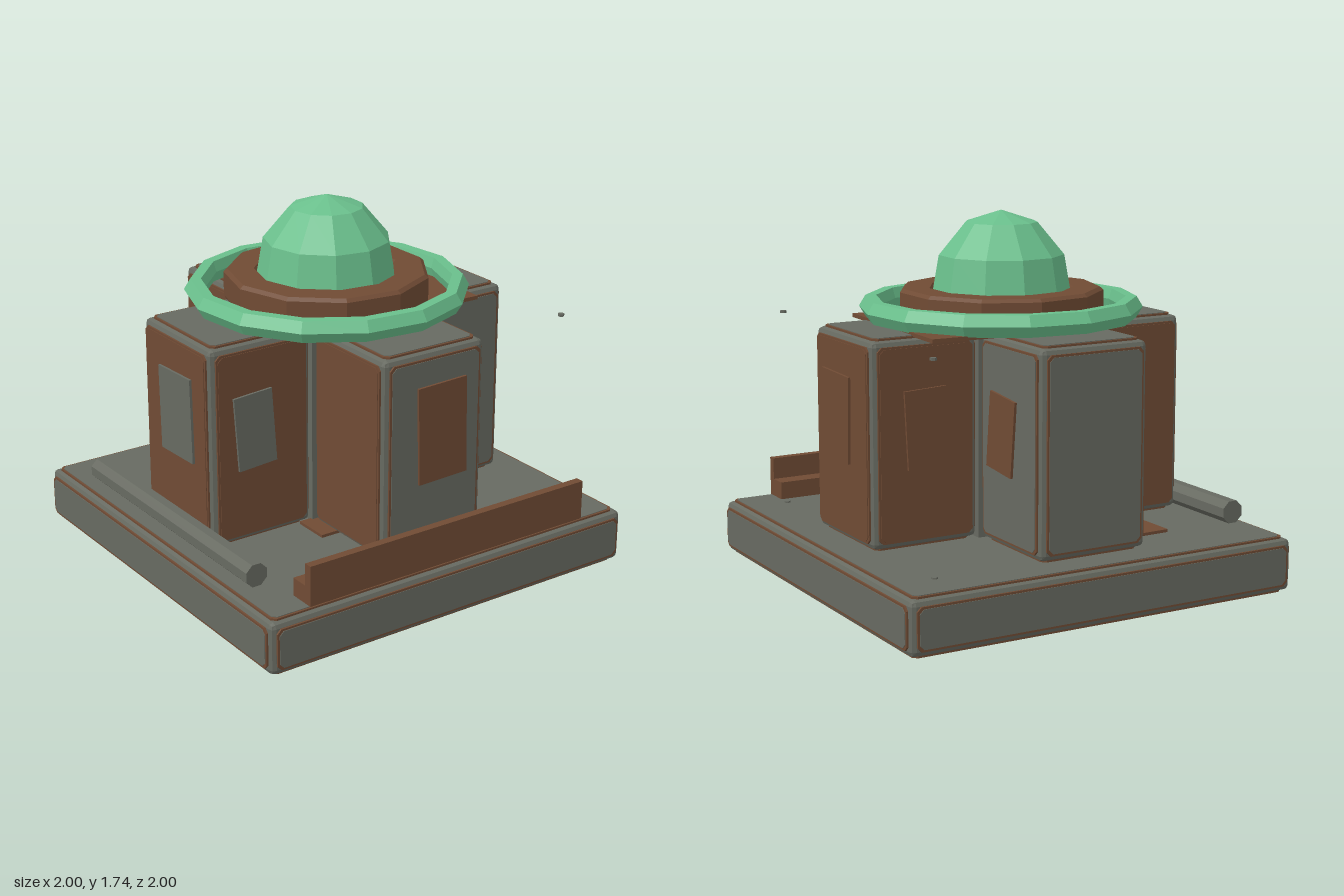
import * as THREE from 'three';
import { RoundedBoxGeometry } from 'three/addons/geometries/RoundedBoxGeometry.js';

const mat = (name, color) => {
  const m = new THREE.MeshStandardMaterial({ color, flatShading: true });
  m.name = name;
  return m;
};

export function createModel() {
  const model = new THREE.Group();
  const grey = mat('weathered grey', 0x676a61);
  const brown = mat('rust brown', 0x704b34);
  const green = mat('dome green', 0x6abf8c);
  const CX = -0.005, CZ = -0.015;

  function add(parent, name, geometry, material, x = 0, y = 0, z = 0) {
    const mesh = new THREE.Mesh(geometry, material);
    mesh.name = name;
    mesh.position.set(x, y, z);
    parent.add(mesh);
    return mesh;
  }

  // Thin rectangle with clipped corners, facing +z, back at z = 0
  function clippedPlate(w, h, c, depth) {
    const a = w / 2, b = h / 2;
    const shape = new THREE.Shape([
      [-a + c, -b], [a - c, -b], [a, -b + c], [a, b - c],
      [a - c, b], [-a + c, b], [-a, b - c], [-a, -b + c],
    ].map(([x, y]) => new THREE.Vector2(x, y)));
    return new THREE.ExtrudeGeometry(shape, { depth, bevelEnabled: false });
  }

  // Chamfered core with a brown trim plate and a coloured panel on each face
  function panelledBlock(name, [x0, y0, z0], [x1, y1, z1], colours = {}) {
    const g = new THREE.Group();
    g.name = name;
    g.position.set((x0 + x1) / 2, (y0 + y1) / 2, (z0 + z1) / 2);
    const w = x1 - x0, h = y1 - y0, d = z1 - z0, inset = 0.012;
    add(g, 'frame', new RoundedBoxGeometry(w - 2 * inset, h - 2 * inset, d - 2 * inset, 1, 0.025), grey);
    const q = Math.PI / 2;
    const faces = {
      front: [w, h, d, 0, 0], back: [w, h, d, 0, 2 * q],
      left: [d, h, w, 0, q], right: [d, h, w, 0, -q],
      top: [w, d, h, -q, 0], bottom: [w, d, h, q, 0],
    };
    for (const [side, [fw, fh, depth, rx, ry]] of Object.entries(faces)) {
      const face = new THREE.Group();
      face.name = side + 'Face';
      face.rotation.set(rx, ry, 0);
      add(face, 'trim', clippedPlate(fw - 0.075, fh - 0.075, 0.02, inset), brown, 0, 0, depth / 2 - inset - 0.003);
      add(face, 'panel', clippedPlate(fw - 0.095, fh - 0.095, 0.02, 0.005), colours[side] || grey, 0, 0, depth / 2 - 0.005);
      g.add(face);
    }
    model.add(g);
  }

  // Base and the four arms of the cross-shaped tower
  panelledBlock('base', [-1, 0, -1], [1, 0.27, 1]);
  const Y0 = 0.27, Y1 = 1.235;
  panelledBlock('frontArm', [-0.29, Y0, 0.27], [0.28, Y1, 0.82], { left: brown, right: brown });
  panelledBlock('backArm', [-0.29, Y0, -0.845], [0.28, Y1, -0.3], { right: brown });
  panelledBlock('leftArm', [0.275, Y0, -0.31], [0.825, Y1, 0.28], { left: brown, back: brown });
  panelledBlock('rightArm', [-0.835, Y0, -0.31], [-0.285, Y1, 0.28], { front: brown, right: brown, back: brown });
  add(model, 'towerCore', new THREE.BoxGeometry(0.57, 0.93, 0.58), grey, CX, 0.74, CZ);

  // Crooked patches on the walls: name, position, facing, width, height, roll
  const H = Math.PI / 2;
  const patches = [
    ['rightArmFrontPatch', -0.605, 0.815, 0.28, 0, 0.2, 0.355, 0.07, grey],
    ['frontArmPatch', 0.03, 0.845, 0.82, 0, 0.265, 0.46, 0.03, brown],
    ['leftArmFrontPatch', 0.52, 0.645, 0.28, 0, 0.21, 0.345, -0.1, grey],
    ['frontArmLeftPatch', 0.28, 0.675, 0.56, H, 0.21, 0.3, -0.05, grey],
    ['leftArmPatch', 0.825, 0.845, 0.035, H, 0.275, 0.4, -0.03, brown],
    ['backArmLeftPatch', 0.28, 0.8, -0.52, H, 0.215, 0.35, -0.1, brown],
    ['rightArmPatch', -0.835, 0.85, 0, -H, 0.27, 0.4, 0.03, grey],
    ['backArmRightPatch', -0.29, 0.7, -0.55, -H, 0.21, 0.34, 0.05, brown],
    ['leftArmBackPatch', 0.55, 0.82, -0.31, 2 * H, 0.21, 0.36, 0.05, brown],
  ];
  for (const [name, x, y, z, facing, w, h, roll, m] of patches) {
    const patch = add(model, name, new THREE.BoxGeometry(w, h, 0.024), m, x, y, z);
    patch.rotation.set(0, facing, roll);
  }

  // Loose sheets lying on the base and a roof sheet beneath the disc
  const sheets = [
    ['backFloorSheet', -0.4, 0.275, -0.51, 0.27, 0.27, 0.02],
    ['frontFloorSheet', 0.36, 0.275, 0.37, 0.26, 0.24, 0.03],
    ['sideFloorSheet', -0.25, 0.275, 0.35, 0.2, 0.18, 0],
    ['roofSheet', 0.2, 1.237, -0.055, 0.77, 0.86, -0.04],
  ];
  for (const [name, x, y, z, w, d, turn] of sheets) {
    add(model, name, new THREE.BoxGeometry(w, 0.018, d), brown, x, y, z).rotation.y = turn;
  }

  // Front rail with an L-shaped section
  add(model, 'railFoot', new THREE.BoxGeometry(1.53, 0.085, 0.13), brown, -0.005, 0.3125, 0.895);
  add(model, 'railUpright', new THREE.BoxGeometry(1.53, 0.19, 0.04), brown, -0.005, 0.365, 0.94);

  // Pipe along the right edge
  add(model, 'pipe', new THREE.CylinderGeometry(0.057, 0.057, 1.39, 8), grey, -0.867, 0.336, -0.005).rotation.set(H, Math.PI / 8, 0);

  // Small studs at the left corners, on the base and level with the roof
  for (const z of [-0.77, 0.76]) {
    for (const y of [0.272, 1.22]) {
      add(model, 'stud', new THREE.CylinderGeometry(0.015, 0.015, 0.012, 6), grey, 0.76, y, z);
    }
  }

  // Roof: green ring, brown disc, collar and faceted dome
  const lathe = (points, sides) =>
    new THREE.LatheGeometry(points.map(([r, y]) => new THREE.Vector2(r, y)), sides);
  add(model, 'ring', lathe([
    [0.585, 1.24], [0.635, 1.24], [0.665, 1.29], [0.635, 1.34], [0.585, 1.34], [0.57, 1.29], [0.585, 1.24],
  ], 14), green, CX, 0, CZ).rotation.y = 0.12;
  add(model, 'disc', lathe([
    [0, 1.24], [0.47, 1.24], [0.48, 1.255], [0.48, 1.37], [0.462, 1.385], [0.34, 1.385], [0.325, 1.365], [0, 1.365],
  ], 11), brown, CX, 0, CZ).rotation.y = 0.15;
  add(model, 'dome', lathe([
    [0.325, 1.365], [0.295, 1.535], [0.17, 1.685], [0, 1.74],
  ], 11), green, -0.013, 0, -0.005).rotation.y = 0.1;

  return model;
}
